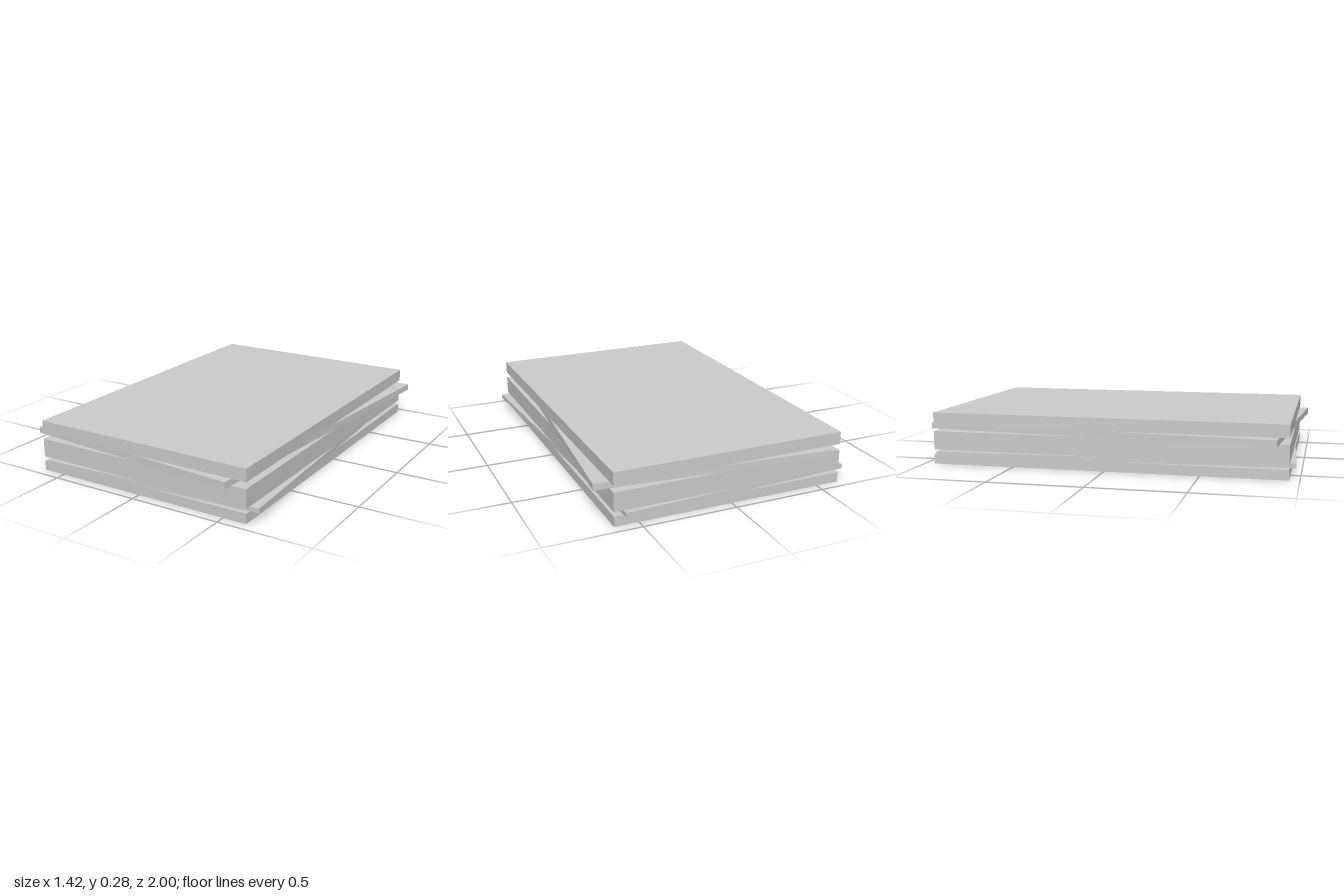
import * as THREE from 'three';

// A stack of equal rectangular slabs; the thin ones are twisted about the vertical axis.
const WIDTH = 1.256, DEPTH = 1.895;

const layers = [
  // name, bottom, top, twist in degrees
  ['bottomSlab', 0, 0.053, 0],
  ['lowerTwistedSheet', 0.053, 0.077, 3],
  ['middleSlab', 0.077, 0.178, 0],
  ['upperTwistedSheet', 0.178, 0.212, -5],
  ['topSlab', 0.212, 0.28, 0],
];

export function createModel() {
  const model = new THREE.Group();
  model.name = 'slabStack';
  const grey = new THREE.MeshStandardMaterial({ color: 0xcccccc });
  grey.name = 'light grey';

  for (const [name, bottom, top, twist] of layers) {
    const slab = new THREE.Mesh(new THREE.BoxGeometry(WIDTH, top - bottom, DEPTH), grey);
    slab.name = name;
    slab.position.y = (bottom + top) / 2;
    slab.rotation.y = THREE.MathUtils.degToRad(twist);
    model.add(slab);
  }
  return model;
}
